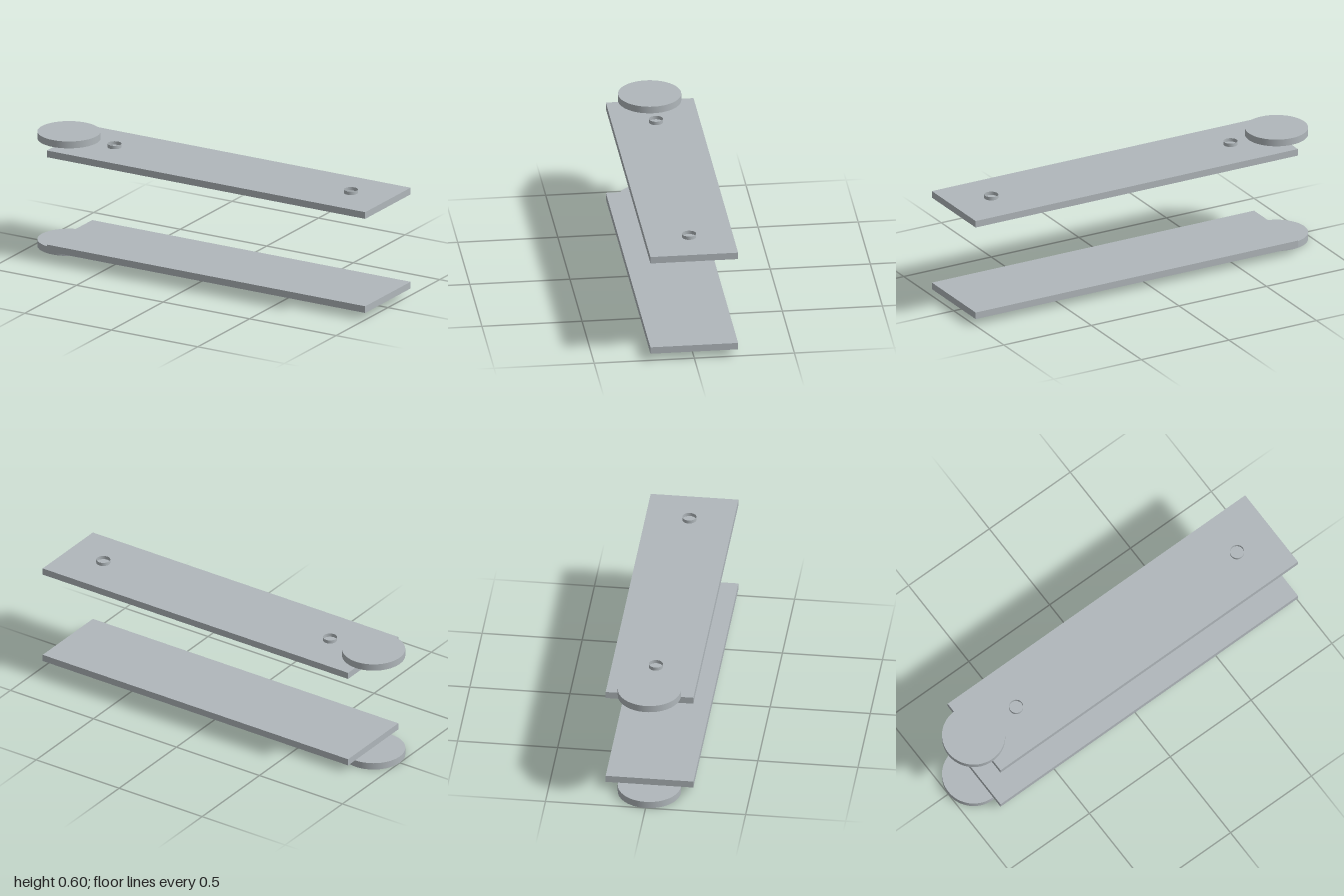
import * as THREE from 'three';

const TOTAL_HEIGHT = 0.6;

export function createModel() {
  const model = new THREE.Group();
  model.name = 'hingedPlatePair';
  const steel = new THREE.MeshStandardMaterial({ color: 0xb0b7bb });
  steel.name = 'paleSteel';
  steel.side = THREE.DoubleSide;

  const add = (parent, name, geometry, x, y) => {
    const mesh = new THREE.Mesh(geometry, steel);
    mesh.name = name;
    mesh.position.set(x, y, 0);
    parent.add(mesh);
  };

  // One arm: a flat plate with a round end disc and two open collars below it
  const makeArm = (name) => {
    const arm = new THREE.Group();
    arm.name = name;
    add(arm, 'plate', new THREE.BoxGeometry(1.84, 0.035, 0.438), 0.08, 0.0535);
    add(arm, 'endDisc', new THREE.CylinderGeometry(0.157, 0.157, 0.036, 64), -0.843, 0.018);
    for (const x of [-0.58, 0.786]) {
      add(arm, 'collar', new THREE.CylinderGeometry(0.035, 0.035, 0.018, 32, 1, true), x, 0.027);
    }
    return arm;
  };

  // The upper arm is the lower one turned over, facing outward
  const lower = makeArm('lowerArm');
  const upper = makeArm('upperArm');
  upper.rotation.x = Math.PI;
  upper.position.y = TOTAL_HEIGHT;
  model.add(lower, upper);
  return model;
}
